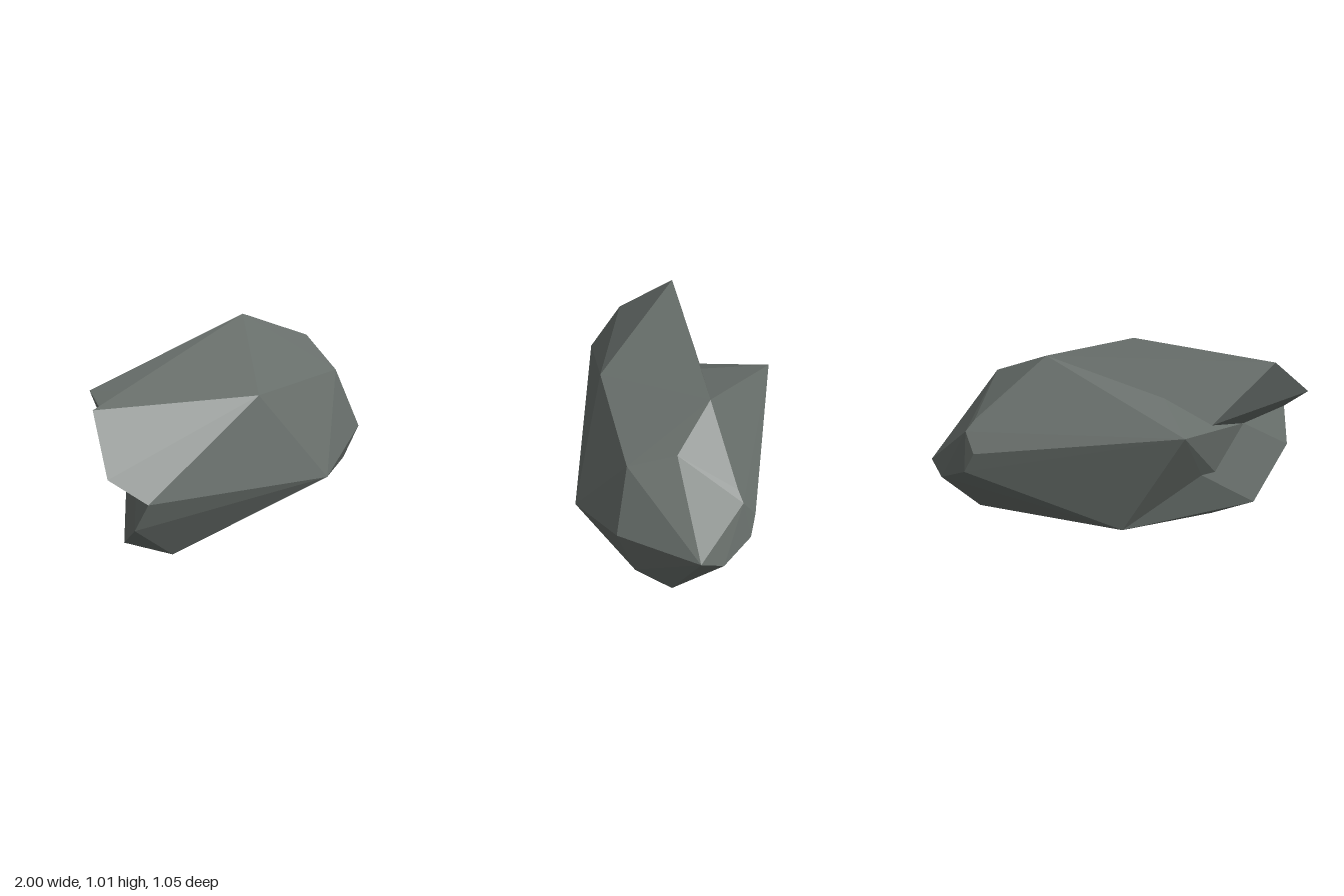
import * as THREE from 'three';
import { ConvexGeometry } from 'three/addons/geometries/ConvexGeometry.js';

// Corners of the chipped boulder
const corners = {
  A: [-0.87, 0.97, 0], B: [0.36, 1.01, -0.21], C: [-0.02, 0.92, 0.39],
  D: [0.66, 0.845, -0.03], E: [0.64, 0.76, 0.245], F: [0.755, 0.385, 0.3],
  G: [1, 0.355, -0.16], H: [0.35, 0.32, 0.525], I: [-0.84, 0.56, 0.44],
  J: [-1, 0.71, 0.285], K: [-0.87, 0.37, 0.36], L: [-0.73, 0.12, 0.1],
  M: [-0.48, 0, 0.21], N: [0.76, 0.045, 0], O: [0.73, 0.145, 0.2],
  P: [-0.46, 0.69, -0.525], Q: [-0.09, 0.09, -0.385], R: [0.775, 0.61, -0.39],
  S: [0.72, 0.505, -0.455], T: [0.775, 0.39, -0.43], U: [0.925, 0.3, -0.285],
  V: [0.73, 0.67, -0.36],
  // inner corners of the notch
  W: [-0.545, 0.64, -0.15], X: [-0.67, 0.56, 0.13],
  Y: [-0.55, 0.35, -0.09], Z: [-0.49, 0.355, -0.17],
};

// Convex chunks that together leave the notch at the back
const chunks = {
  rockBody: 'BCDEFGHMNOPQRSTUVWXYZ',
  upperSpur: 'ABCHIJWX',
  lowerSpur: 'HIKLMQXYZ',
};

export function createModel() {
  const stone = new THREE.MeshStandardMaterial({ color: 0x69706c });
  stone.name = 'stone grey';
  const rock = new THREE.Group();
  rock.name = 'rock';
  for (const [name, letters] of Object.entries(chunks)) {
    const points = [...letters].map((k) => new THREE.Vector3(...corners[k]));
    const mesh = new THREE.Mesh(new ConvexGeometry(points), stone);
    mesh.name = name;
    rock.add(mesh);
  }
  return rock;
}
